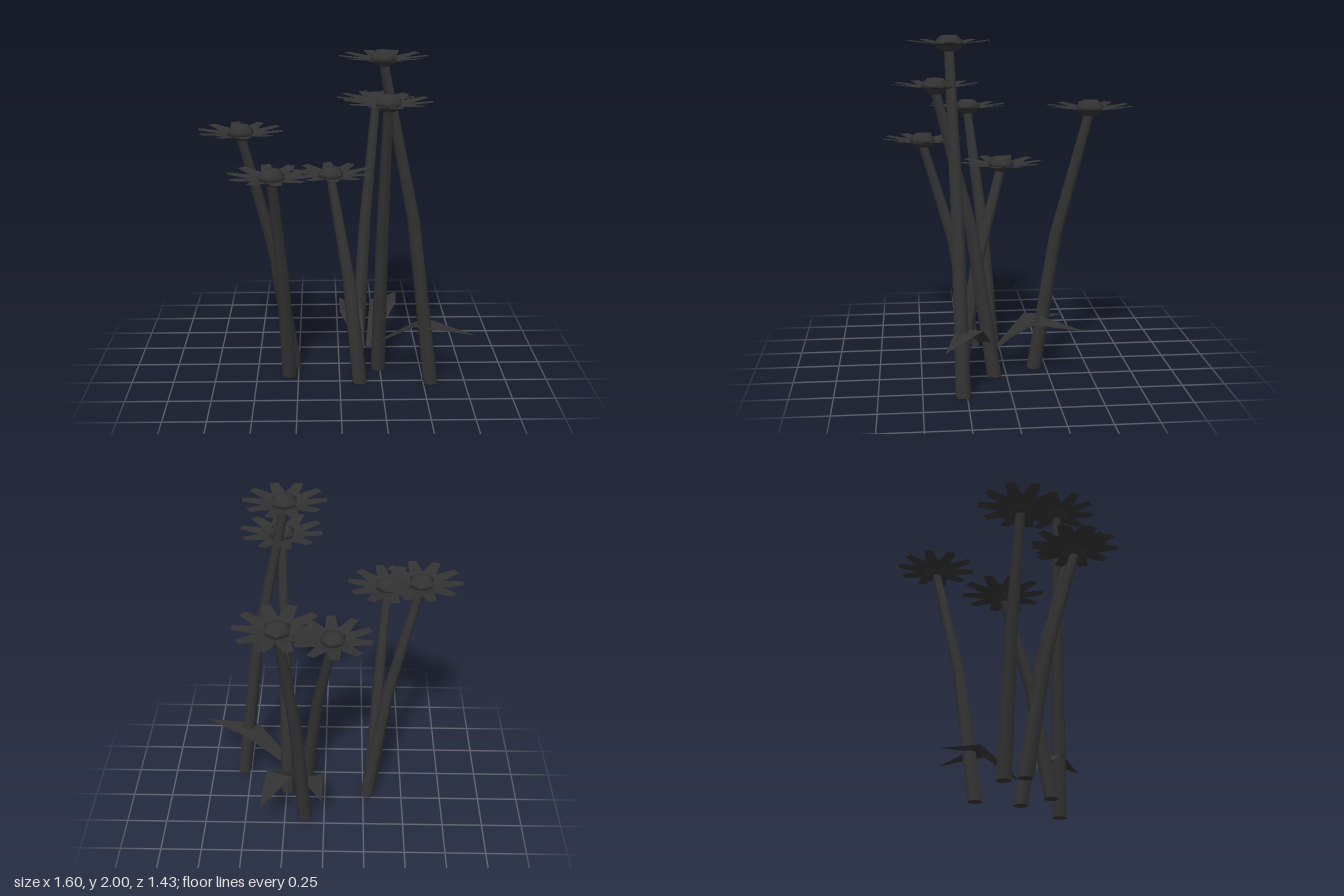
import * as THREE from 'three';
import { mergeGeometries } from 'three/addons/utils/BufferGeometryUtils.js';

const material = new THREE.MeshStandardMaterial({ color: 0x333333 });
const thin = new THREE.MeshStandardMaterial({ color: 0x333333, side: THREE.DoubleSide });

// Thin blade along +x; each row is [x, y, half width]
function blade(rows) {
  const pos = [], index = [];
  rows.forEach(([x, y, w], i) => {
    pos.push(x, y, w, x, y, -w);
    if (i) index.push(2 * i - 2, 2 * i, 2 * i - 1, 2 * i - 1, 2 * i, 2 * i + 1);
  });
  const g = new THREE.BufferGeometry();
  g.setAttribute('position', new THREE.Float32BufferAttribute(pos, 3));
  g.setIndex(index);
  const flat = g.toNonIndexed();
  flat.computeVertexNormals();
  return flat;
}

// Ring of ten blunt petals that dip near the core and lift at the tips
function petalRing() {
  const petals = [];
  for (let i = 0; i < 10; i++) {
    petals.push(blade([[0.05, -0.02, 0.02], [0.125, 0, 0.041], [0.243, 0.014, 0.026]])
      .rotateY(i * Math.PI / 5));
  }
  return mergeGeometries(petals);
}

// Six-sided flower core
const coreProfile = [[0, -0.045], [0.04, -0.043], [0.075, -0.018], [0.08, 0.01], [0.045, 0.043], [0, 0.046]]
  .map(([r, y]) => new THREE.Vector2(r, y));

// Tapered stem with one bend, running from its foot to the head
function stemGeometry(foot, head) {
  const height = head[1] - 0.02;
  const g = new THREE.CylinderGeometry(1, 1, 1, 7, 2);
  const p = g.attributes.position;
  for (let i = 0; i < p.count; i++) {
    const level = Math.round((p.getY(i) + 0.5) * 2);
    const along = [0, 0.4, 1][level];
    const radius = [0.045, 0.038, 0.028][level];
    p.setXYZ(i,
      foot[0] + (head[0] - foot[0]) * along + p.getX(i) * radius,
      [0, 0.53, 1][level] * height,
      foot[1] + (head[2] - foot[1]) * along + p.getZ(i) * radius);
  }
  g.computeVertexNormals();
  return g;
}

// Foot [x, z], head [x, y, z], turn in degrees
const flowers = [
  [[0.545, 0.27], [0.235, 1.954, 0.32], 0],
  [[0.24, 0.07], [0.26, 1.72, 0.4], -8],
  [[0.12, -0.18], [0.24, 1.588, -0.475], 0],
  [[-0.275, 0.04], [-0.565, 1.515, 0.175], -7],
  [[-0.305, 0.16], [-0.38, 1.327, 0.468], -8],
  [[0.12, 0.26], [-0.05, 1.225, 0.005], -14],
];

// Foot, middle, tip of each leaf, and half width at the middle
const leaves = [
  [[0.14, 0.13, 0.07], [0.48, 0.37, 0.22], [0.785, 0.345, 0.375], 0.08],
  [[0.18, 0.15, 0.08], [0.28, 0.345, -0.18], [0.38, 0.305, -0.44], 0.085],
  [[0.14, 0.13, 0.06], [0.075, 0.305, -0.15], [0.01, 0.295, -0.37], 0.075],
];

function leafGeometry(foot, mid, tip, width) {
  const dx = tip[0] - foot[0], dz = tip[2] - foot[2];
  const length = Math.hypot(dx, dz);
  const reach = Math.hypot(mid[0] - foot[0], mid[2] - foot[2]);
  return blade([[0, 0, 0.018], [reach, mid[1] - foot[1], width], [length, tip[1] - foot[1], 0.002]])
    .rotateY(Math.atan2(-dz, dx)).translate(...foot);
}

export function createModel() {
  const model = new THREE.Group();
  model.name = 'flowers';
  const add = (parent, geometry, mat, name) => {
    const mesh = new THREE.Mesh(geometry, mat);
    mesh.name = name;
    parent.add(mesh);
  };
  const petals = petalRing();
  const core = new THREE.LatheGeometry(coreProfile, 6);

  for (const [foot, head, turn] of flowers) {
    const flower = new THREE.Group();
    flower.name = 'flower';
    add(flower, stemGeometry(foot, head), material, 'stem');
    const bloom = new THREE.Group();
    bloom.name = 'bloom';
    bloom.position.set(...head);
    bloom.rotation.y = THREE.MathUtils.degToRad(turn);
    add(bloom, petals, thin, 'petals');
    add(bloom, core, material, 'core');
    flower.add(bloom);
    model.add(flower);
  }
  for (const leaf of leaves) add(model, leafGeometry(...leaf), thin, 'leaf');
  return model;
}
